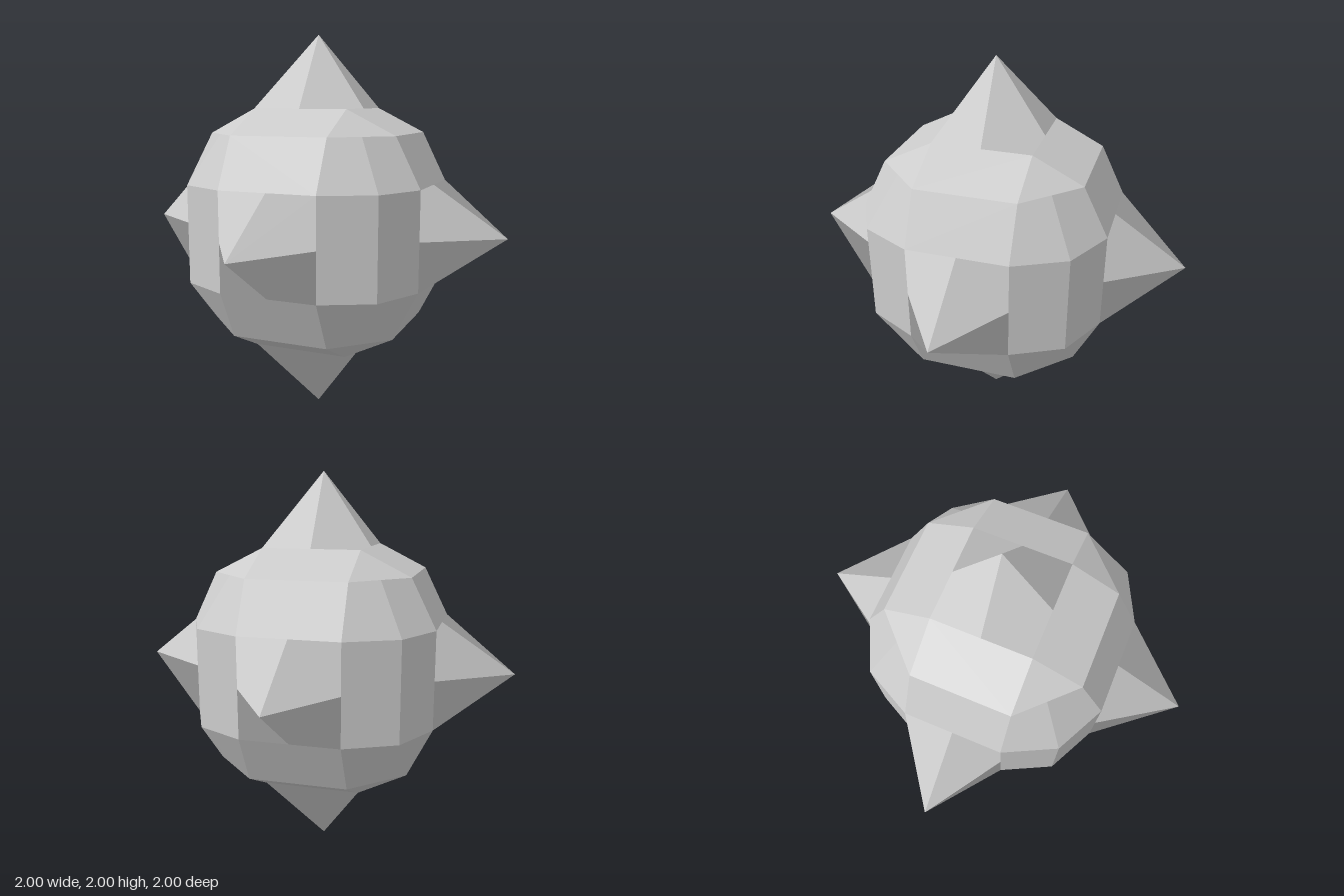
import * as THREE from 'three';

const material = new THREE.MeshStandardMaterial({ color: 0xcccccc });
const W = 0.25, MID = 0.5, OUT = 0.625, CENTRE_HEIGHT = 1;
const v = (x, y, z) => new THREE.Vector3(x, y, z);

// Builds four-cornered facets, each facing outward with one shared normal, split along corners 0-2.
function facets(quads) {
  const positions = [], normals = [];
  for (const [a, b, c, d] of quads) {
    const n = c.clone().sub(a).cross(d.clone().sub(b)).normalize();
    const centre = a.clone().add(b).add(c).add(d);
    const outward = n.dot(centre) > 0;
    if (!outward) n.negate();
    for (const p of outward ? [a, b, c, a, c, d] : [a, c, b, a, d, c]) {
      positions.push(p.x, p.y, p.z);
      normals.push(n.x, n.y, n.z);
    }
  }
  const g = new THREE.BufferGeometry();
  g.setAttribute('position', new THREE.Float32BufferAttribute(positions, 3));
  g.setAttribute('normal', new THREE.Float32BufferAttribute(normals, 3));
  return g;
}

export function createModel() {
  const model = new THREE.Group();
  // Every part is built around the ball's centre, which sits one unit above the ground
  const add = (name, geometry, rx = 0, rz = 0) => {
    const mesh = new THREE.Mesh(geometry, material);
    mesh.name = name;
    mesh.rotation.set(rx, 0, rz);
    mesh.position.y = CENTRE_HEIGHT;
    model.add(mesh);
  };
  const spikeQuads = [], ringQuads = [];
  for (const sx of [1, -1]) for (const sz of [1, -1]) {
    // Quarter of a square pyramid: apex, edge middle, base corner, edge middle
    spikeQuads.push([v(0, 1, 0), v(sx * W, OUT, 0), v(sx * W, OUT, sz * W), v(0, OUT, sz * W)]);
    // Two bevelled plates of a band, in each quadrant
    const path = [[W, OUT], [MID, MID], [OUT, W]];
    for (let i = 0; i < 2; i++) {
      const [[x0, z0], [x1, z1]] = [path[i], path[i + 1]];
      ringQuads.push([
        v(sx * x0, -W, sz * z0), v(sx * x1, -W, sz * z1),
        v(sx * x1, W, sz * z1), v(sx * x0, W, sz * z0),
      ]);
    }
  }

  // Six spikes along the axes
  const spike = facets(spikeQuads), Q = Math.PI / 2;
  add('topSpike', spike);
  add('bottomSpike', spike, Math.PI);
  add('frontSpike', spike, Q);
  add('backSpike', spike, -Q);
  add('rightSpike', spike, 0, Q);
  add('leftSpike', spike, 0, -Q);

  // Three crossing bands
  const ring = facets(ringQuads);
  add('horizontalBand', ring);
  add('frontalBand', ring, Q);
  add('sideBand', ring, 0, Q);

  // Eight corner pieces between the bands
  for (const sx of [1, -1]) for (const sy of [1, -1]) for (const sz of [1, -1]) {
    const p = (x, y, z) => v(sx * x, sy * y, sz * z);
    const A = p(W, W, OUT), B = p(MID, W, MID), C = p(OUT, W, W);
    const D = p(W, MID, MID), M = p(0.375, MID, 0.375), E = p(MID, MID, W);
    const F = p(W, OUT, W);
    const name = (sy > 0 ? 'upper' : 'lower') + (sz > 0 ? 'Front' : 'Back') + (sx > 0 ? 'Left' : 'Right') + 'Corner';
    add(name, facets([[B, M, D, A], [B, C, E, M], [F, D, M, E]]));
  }
  return model;
}
